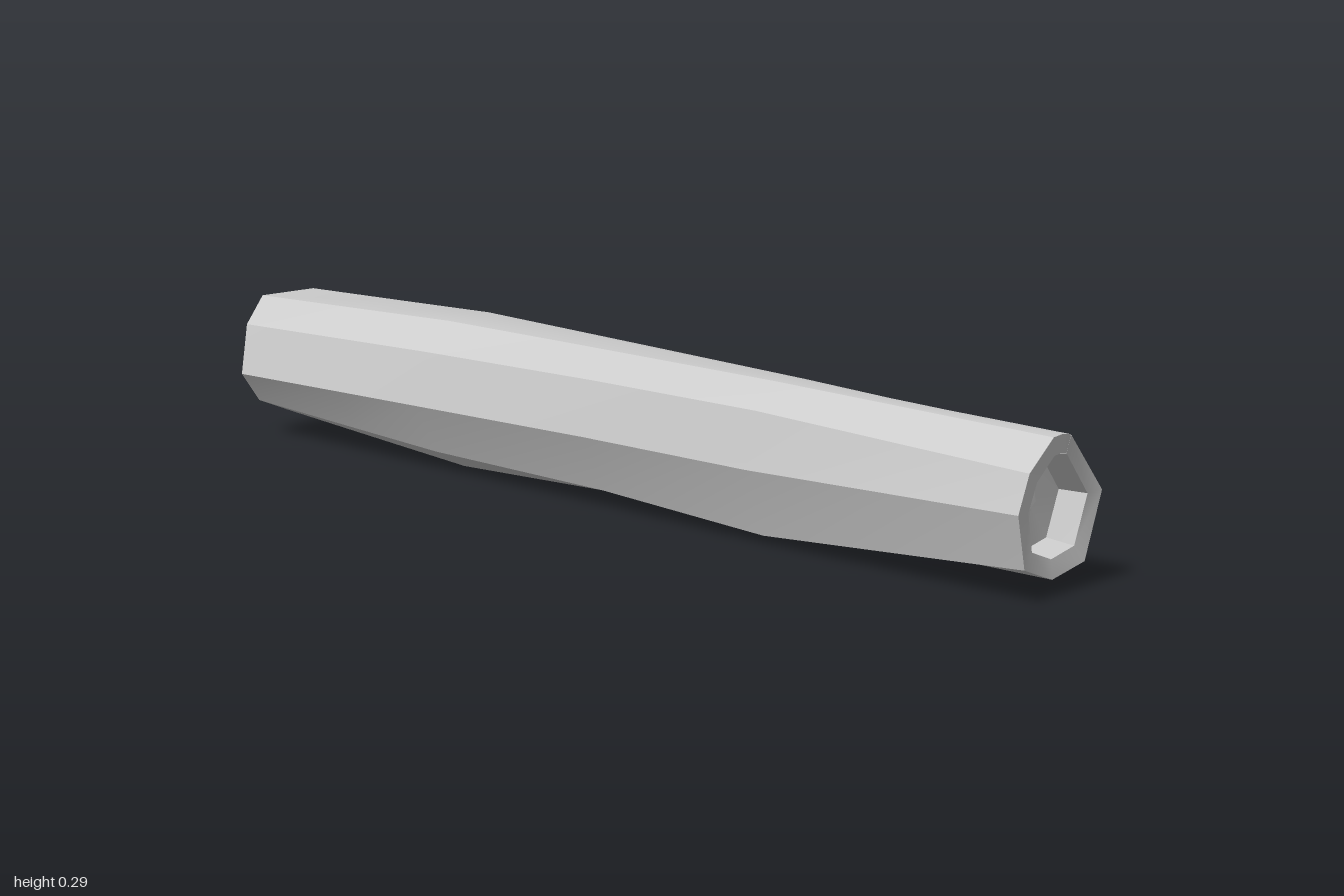
import * as THREE from 'three';
import { toCreasedNormals } from 'three/addons/utils/BufferGeometryUtils.js';

const lerp = THREE.MathUtils.lerp;

// Skin a list of closed rings (counterclockwise seen from +z, listed front to back)
function loft(name, rings, material) {
  const n = rings[0].length, index = [];
  for (let i = 0; i < rings.length - 1; i++) {
    for (let j = 0; j < n; j++) {
      const a = i * n + j, b = i * n + (j + 1) % n, c = a + n, d = b + n;
      index.push(a, c, d, a, d, b);
    }
  }
  const geo = new THREE.BufferGeometry();
  geo.setAttribute('position', new THREE.Float32BufferAttribute(rings.flat(2), 3));
  geo.setIndex(index);
  const mesh = new THREE.Mesh(toCreasedNormals(geo, 0.5), material);
  mesh.name = name;
  return mesh;
}

// Shrink a ring toward its centre and slide it along z
function inset(ring, scale, dz) {
  const box = new THREE.Box3().setFromPoints(ring.map(p => new THREE.Vector3(...p)));
  const c = box.getCenter(new THREE.Vector3());
  return ring.map(([x, y, z]) => [lerp(c.x, x, scale), lerp(c.y, y, scale), z + dz]);
}

// Key sections: right, groove ridge, top, top left, upper left, left, bottom left, bottom, bottom right
const front = [[0.125, 0.16], [0.024, 0.267], [0, 0.272], [-0.025, 0.27], [-0.085, 0.22],
  [-0.108, 0.155], [-0.08, 0.06], [0, 0.03], [0.09, 0.045]];
const frontHalf = [[0.1, 0.17], [0.051, 0.26], [0, 0.285], [-0.045, 0.285], [-0.093, 0.24],
  [-0.115, 0.14], [-0.07, 0.018], [0, 0.025], [0.085, 0.07]];
const middle = [[0.112, 0.185], [0.075, 0.262], [0.02, 0.289], [-0.045, 0.287], [-0.096, 0.24],
  [-0.12, 0.14], [-0.07, 0.035], [0.01, 0.035], [0.09, 0.085]];
const backHalf = [[0.133, 0.185], [0.11, 0.258], [0.06, 0.292], [-0.04, 0.287], [-0.1, 0.235],
  [-0.126, 0.135], [-0.075, 0.04], [-0.005, 0.002], [0.075, 0.04]];
const back = [[0.128, 0.18], [0.12, 0.228], [0.075, 0.275], [-0.055, 0.275], [-0.11, 0.225],
  [-0.137, 0.13], [-0.09, 0.07], [-0.015, 0.04], [0.125, 0.08]];

const blend = (a, b, t) => a.map(([x, y], i) => [lerp(x, b[i][0], t), lerp(y, b[i][1], t)]);

// Replace the ridge by a groove: lower lip, two floor points, upper lip
function cutGroove([right, [x, y], ...rest], open) {
  const across = (s, inX, inY) => [x + (0.018 * s + inX) * open, y + (-0.02 * s + inY) * open];
  return [right, across(1, 0, 0), across(0.6, -0.01, -0.028), across(-0.6, -0.01, -0.028),
    across(-1, 0, 0), ...rest];
}

// Slight slant of the two end cuts
function slant(x, y, z) {
  if (z > 0.9) return 0.06 * (y - 0.15) - 0.07 * x + 0.003;
  if (z < -0.9) return -0.09 * (y - 0.15) - 0.25 * Math.min(0, x + 0.05) - 0.009;
  return 0;
}

// Rim, short hollow and floor of one end
const endRings = (ring, s) => [
  ring, inset(ring, 0.73, -0.005 * s), inset(ring, 0.68, -0.06 * s), inset(ring, 0, -0.06 * s),
];

export function createModel() {
  const group = new THREE.Group();
  group.name = 'hollowLog';
  const material = new THREE.MeshStandardMaterial({ color: 0xcccccc });

  // Bark: z, section and groove opening of each ring
  const bark = [
    [0.98, front, 0.05],
    [0.75, blend(front, frontHalf, 0.4), 0.1],
    [0.4, frontHalf, 0.9],
    [0, middle, 1],
    [-0.45, backHalf, 1.1],
    [-0.68, blend(backHalf, back, 0.43), 0.15],
    [-0.98, back, 0.05],
  ].map(([z, section, open]) =>
    cutGroove(section, open).map(([x, y]) => [x, y, z + slant(x, y, z)]));

  group.add(loft('bark', bark, material));
  group.add(loft('frontHollow', endRings(bark[0], 1).reverse(), material));
  group.add(loft('backHollow', endRings(bark[bark.length - 1], -1), material));
  return group;
}
